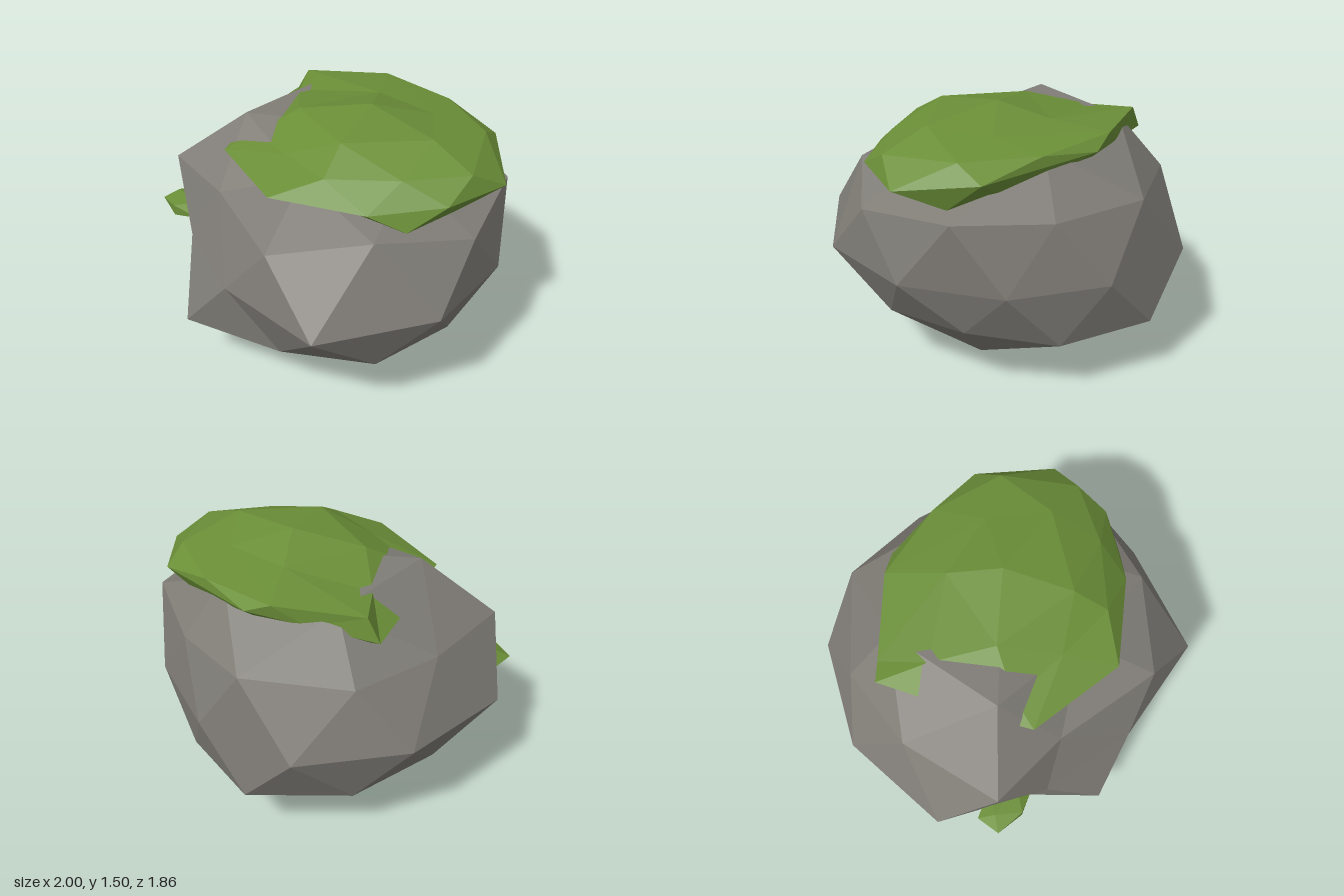
import * as THREE from 'three';

const rockMat = new THREE.MeshStandardMaterial({ color: 0x807d77, flatShading: true });
rockMat.name = 'grey stone';
const mossMat = new THREE.MeshStandardMaterial({ color: 0x6b8f38, flatShading: true });
mossMat.name = 'moss green';

// Faceted lump with once-subdivided icosahedron topology.
// Rings run from top to bottom: 1, 5, 10, 10, 10, 5, 1 points, each [x, y, z],
// going round from +x towards +z.
function lump(name, material, [T, A, B, C, D, E, L]) {
  const pos = [];
  const tri = (...pts) => pts.forEach((p) => pos.push(...p));
  const at = (ring, i) => ring[i % ring.length];
  for (let i = 0; i < 5; i++) {
    const a0 = A[i], a1 = at(A, i + 1), b1 = B[2 * i + 1];
    tri(T[0], a1, a0);
    tri(a0, b1, B[2 * i]);
    tri(a0, a1, b1);
    tri(a1, at(B, 2 * i + 2), b1);
    const e0 = E[i], e1 = at(E, i + 1), d1 = at(D, 2 * i + 2);
    tri(L[0], e0, e1);
    tri(e0, D[2 * i + 1], d1);
    tri(e0, d1, e1);
    tri(e1, d1, at(D, 2 * i + 3));
  }
  for (let j = 0; j < 10; j++) {
    const c0 = C[j], c1 = at(C, j + 1);
    tri(B[j], at(B, j + 1), c0);
    tri(at(B, j + 1), c1, c0);
    tri(c0, at(D, j + 1), D[j]);
    tri(c0, c1, at(D, j + 1));
  }
  const geo = new THREE.BufferGeometry();
  geo.setAttribute('position', new THREE.Float32BufferAttribute(pos, 3));
  geo.computeVertexNormals();
  const mesh = new THREE.Mesh(geo, material);
  mesh.name = name;
  return mesh;
}

// Boulder cross-sections
const rockRings = [
  [[0.02, 1.37, 0]],
  [[0.5, 1.26, 0], [0.15, 1.25, 0.42], [-0.43, 1.38, 0.3], [-0.45, 1.38, -0.38], [0.19, 1.38, -0.56]],
  [[0.95, 1.05, -0.02], [0.7, 1.13, 0.46], [0.3, 1.04, 0.82], [-0.3, 1.06, 0.62], [-0.77, 1.07, 0.55],
    [-0.82, 1.1, -0.03], [-0.68, 1.07, -0.5], [-0.22, 1.11, -0.86], [0.28, 1.08, -0.78], [0.75, 1.11, -0.55]],
  [[1, 0.72, 0.28], [0.68, 0.72, 0.87], [0.03, 0.72, 0.88], [-0.5, 0.72, 0.69], [-1, 0.72, 0.31],
    [-0.94, 0.72, -0.34], [-0.56, 0.72, -0.84], [0.03, 0.72, -0.93], [0.55, 0.72, -0.74], [0.92, 0.72, -0.3]],
  [[0.82, 0.4, -0.02], [0.75, 0.4, 0.48], [0.29, 0.36, 0.74], [-0.28, 0.36, 0.93], [-0.62, 0.36, 0.45],
    [-0.82, 0.41, 0], [-0.68, 0.36, -0.5], [-0.28, 0.39, -0.91], [0.25, 0.37, -0.8], [0.65, 0.44, -0.5]],
  [[0.43, 0.14, 0.25], [-0.12, 0.2, 0.4], [-0.51, 0.09, 0], [-0.15, 0.14, -0.5], [0.43, 0.15, -0.32]],
  [[0.03, 0, -0.02]],
];

// Moss cap cross-sections; its underside is sunk in the boulder
const mossRings = [
  [[0.15, 1.5, -0.09]],
  [[0.59, 1.45, -0.09], [0.28, 1.45, 0.27], [-0.19, 1.43, 0.12], [-0.02, 1.43, -0.33], [0.36, 1.42, -0.36]],
  [[0.85, 1.35, -0.09], [0.64, 1.35, 0.2], [0.34, 1.34, 0.45], [0, 1.33, 0.4], [-0.33, 1.3, 0.33],
    [-0.45, 1.37, -0.12], [-0.6, 1.38, -0.33], [-0.2, 1.4, -0.6], [0.25, 1.38, -0.63], [0.64, 1.38, -0.46]],
  [[0.86, 1.25, 0.1], [0.6, 1.22, 0.41], [0.15, 1.24, 0.66], [-0.39, 1.24, 0.5], [-0.55, 1.27, 0.1],
    [-0.67, 1.25, -0.31], [-0.35, 1.3, -0.5], [-0.07, 1.34, -0.66], [0.6, 1.3, -0.61], [0.92, 1.24, -0.29]],
  [[0.82, 1.16, -0.05], [0.75, 1.13, 0.28], [0.3, 1.2, 0.45], [-0.05, 1.2, 0.5], [-0.35, 1.18, 0.35],
    [-0.45, 1.15, -0.1], [-0.4, 1.15, -0.3], [-0.1, 1.2, -0.5], [0.4, 1.18, -0.55], [0.7, 1.14, -0.45]],
  [[0.45, 1.1, 0.15], [0, 1.1, 0.25], [-0.25, 1.1, 0], [0, 1.1, -0.3], [0.4, 1.1, -0.25]],
  [[0.15, 1.08, 0]],
];

export function createModel() {
  const group = new THREE.Group();
  group.name = 'mossyBoulder';
  group.add(lump('boulder', rockMat, rockRings));
  group.add(lump('mossCap', mossMat, mossRings));

  // Small moss tuft on the front right
  const tuft = new THREE.Mesh(new THREE.IcosahedronGeometry(1, 0), mossMat);
  tuft.name = 'mossTuft';
  tuft.scale.set(0.19, 0.06, 0.13);
  tuft.position.set(-0.7, 0.777, 0.55);
  group.add(tuft);
  return group;
}
